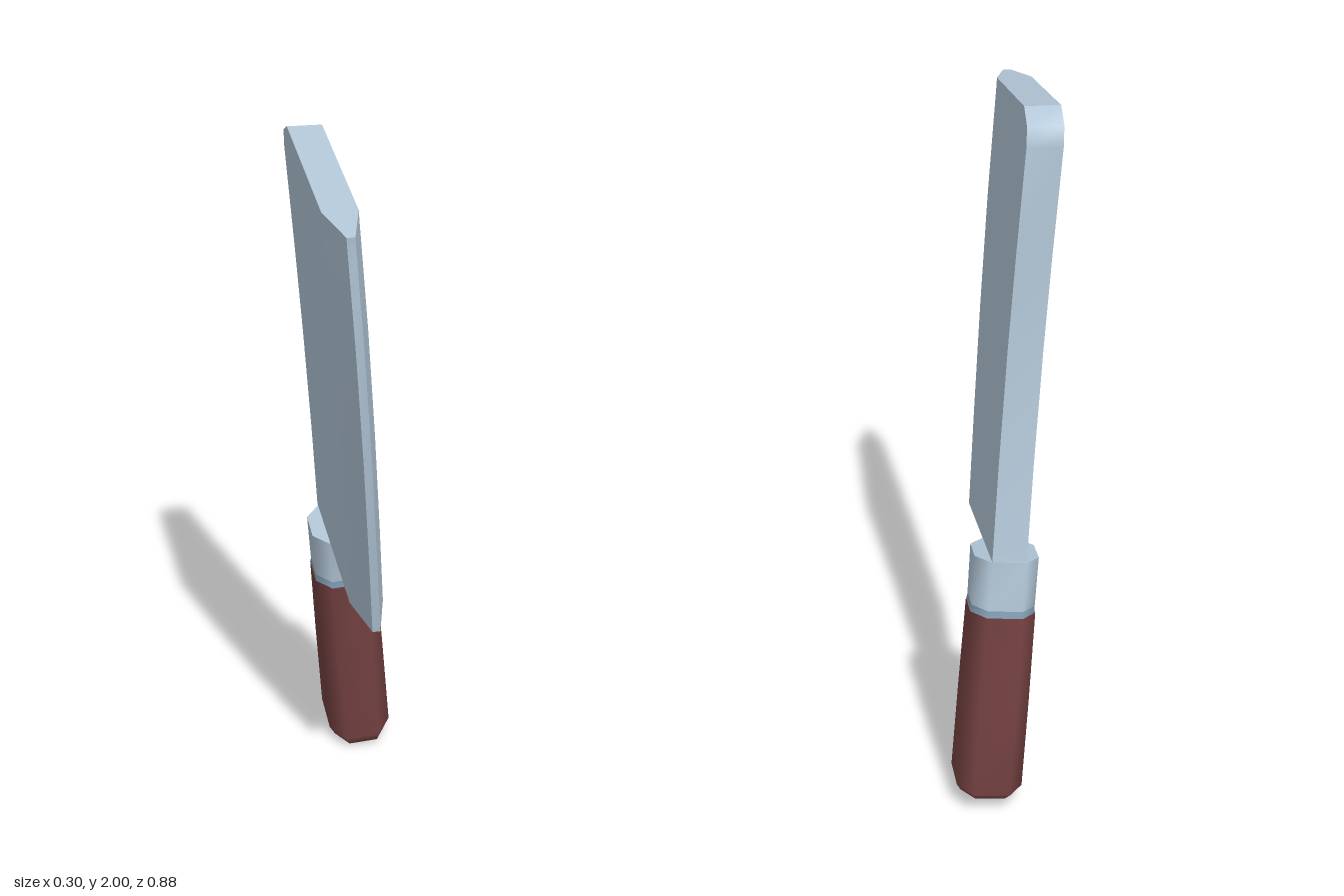
import * as THREE from 'three';

const steel = new THREE.MeshStandardMaterial({ color: 0xb2c6d7 });
steel.name = 'steel';
const darkSteel = new THREE.MeshStandardMaterial({ color: 0x7f9bb0 });
darkSteel.name = 'darkSteel';
const wood = new THREE.MeshStandardMaterial({ color: 0x734040 });
wood.name = 'wood';

// Lean of the whole knife: centre plane x at a given height and depth
const planeX = (y, z) => 0.074 - 0.086 * y + 0.033 * z;

// Skins rings stacked from bottom to top. hard = crisp edges between the sides.
function loft(name, rings, material, { hard = false, bottom = true, top = true } = {}) {
  const pos = [], idx = [], n = rings[0].length;
  const push = (p) => pos.push(...p) / 3 - 1;
  const quads = (A, B) => {
    for (let i = 0; i < A.length - 1; i++) {
      idx.push(A[i], B[i], B[i + 1], A[i], B[i + 1], A[i + 1]);
    }
  };
  const shared = hard ? null : rings[0].map((_, j) => rings.map((r) => push(r[j])));
  for (let j = 0; j < n; j++) {
    const k = (j + 1) % n;
    if (hard) quads(rings.map((r) => push(r[j])), rings.map((r) => push(r[k])));
    else quads(shared[j], shared[k]);
  }
  const cap = (ring, flip) => {
    const v = ring.map(push);
    for (let j = 1; j < n - 1; j++) {
      idx.push(v[0], flip ? v[j + 1] : v[j], flip ? v[j] : v[j + 1]);
    }
  };
  if (bottom) cap(rings[0], true);
  if (top) cap(rings[rings.length - 1], false);
  const geo = new THREE.BufferGeometry();
  geo.setAttribute('position', new THREE.Float32BufferAttribute(pos, 3));
  geo.setIndex(idx);
  geo.computeVertexNormals();
  const mesh = new THREE.Mesh(geo, material);
  mesh.name = name;
  return mesh;
}

// Blade cross-section from spine to cutting edge, with a bevel on both sides
function bladeRing([backZ, backY, edgeZ, edgeY]) {
  const t = 0.132 / (edgeZ - backZ);
  const bevelZ = edgeZ - 0.132, bevelY = edgeY + (backY - edgeY) * t;
  const at = (z, y, half) => [planeX(y, z) + half, y, z];
  return [
    at(edgeZ, edgeY, -0.011), at(edgeZ, edgeY, 0.011),
    at(bevelZ, bevelY, 0.047), at(backZ, backY, 0.047),
    at(backZ, backY, -0.047), at(bevelZ, bevelY, -0.047),
  ];
}

// Eight-sided handle cross-section, square to the leaning grip
const octagon = [[-0.55, 1], [0.55, 1], [1, 0.5], [1, -0.5], [0.55, -1], [-0.55, -1], [-1, -0.5], [-1, 0.5]];
function gripRing([y, z, rx, rz]) {
  return octagon.map(([u, w]) => {
    const dx = u * rx, dz = w * rz;
    return [planeX(y, z) + dx + 0.033 * dz, y + 0.086 * dx - 0.158 * dz, z + dz];
  });
}

export function createModel() {
  const group = new THREE.Group();
  group.name = 'cleaver';

  // Blade stations: spine z, spine y, edge z, edge y
  const blade = [
    [-0.335, 0.78, 0.265, 0.685],
    [-0.29, 1.05, 0.322, 0.94],
    [-0.257, 1.37, 0.382, 1.25],
    [-0.246, 1.62, 0.424, 1.59],
    [-0.245, 1.92, 0.437, 1.83],
    [-0.225, 1.97, 0.439, 1.88],
    [-0.155, 2.0, 0.442, 1.905],
  ];
  group.add(loft('blade', blade.map(bladeRing), steel, { hard: true }));

  // Grip stations: y, z, half width, half depth
  const handle = [
    [0.02, -0.292, 0.057, 0.078],
    [0.035, -0.3, 0.077, 0.107],
    [0.066, -0.309, 0.092, 0.13],
    [0.33, -0.288, 0.092, 0.113],
    [0.6, -0.265, 0.09, 0.095],
  ];
  group.add(loft('handle', handle.map(gripRing), wood));

  // Metal collar and the darker ring under it
  const collarRing = [[0.598, -0.265, 0.089, 0.095], [0.62, -0.263, 0.086, 0.091]];
  group.add(loft('collarRing', collarRing.map(gripRing), darkSteel));
  const collar = [[0.62, -0.263, 0.087, 0.092], [0.762, -0.243, 0.088, 0.092]];
  group.add(loft('collar', collar.map(gripRing), steel));

  return group;
}
